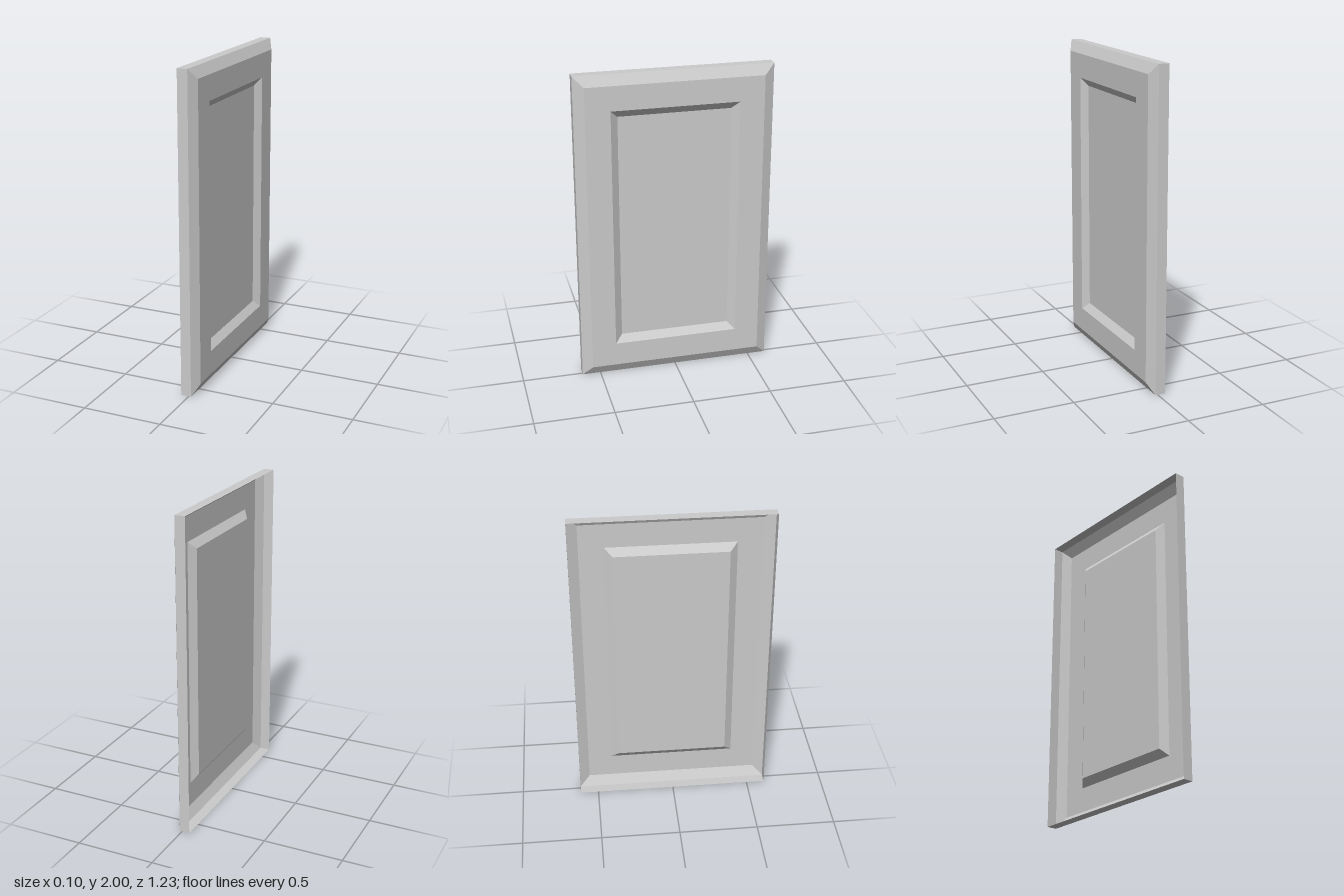
import * as THREE from 'three';

const HALF_W = 0.617; // half width along z
const material = new THREE.MeshStandardMaterial({ color: 0xcccccc, side: THREE.DoubleSide, flatShading: true });

// Corners of an upright rectangle at depth x, inset from the outer edge
function ring([x, inset]) {
  const w = HALF_W - inset, lo = inset, hi = 2 - inset;
  return [[x, lo, w], [x, lo, -w], [x, hi, -w], [x, hi, w]];
}

function makeMesh(name, quads) {
  const points = quads.flatMap(([a, b, c, d]) => [a, b, c, a, c, d]).flat();
  const geometry = new THREE.BufferGeometry();
  geometry.setAttribute('position', new THREE.Float32BufferAttribute(points, 3));
  geometry.computeVertexNormals();
  const mesh = new THREE.Mesh(geometry, material);
  mesh.name = name;
  return mesh;
}

// Four mitred strips joining two rectangles
function band(name, from, to) {
  const a = ring(from), b = ring(to);
  return makeMesh(name, a.map((p, i) => {
    const j = (i + 1) % 4;
    return [p, a[j], b[j], b[i]];
  }));
}

export function createModel() {
  const group = new THREE.Group();
  group.name = 'panelDoor';

  // Profile from the open back rim to the sunken panel: [x, inset]
  const rim = [-0.05, 0], shoulder = [0.015, 0], face = [0.05, 0.064];
  const recess = [0.05, 0.218], panel = [0.014, 0.265];

  group.add(
    band('outerEdge', rim, shoulder),
    band('outerBevel', shoulder, face),
    band('frameFace', face, recess),
    band('recessBevel', recess, panel),
    makeMesh('sunkenPanel', [ring(panel)]),
  );
  return group;
}
